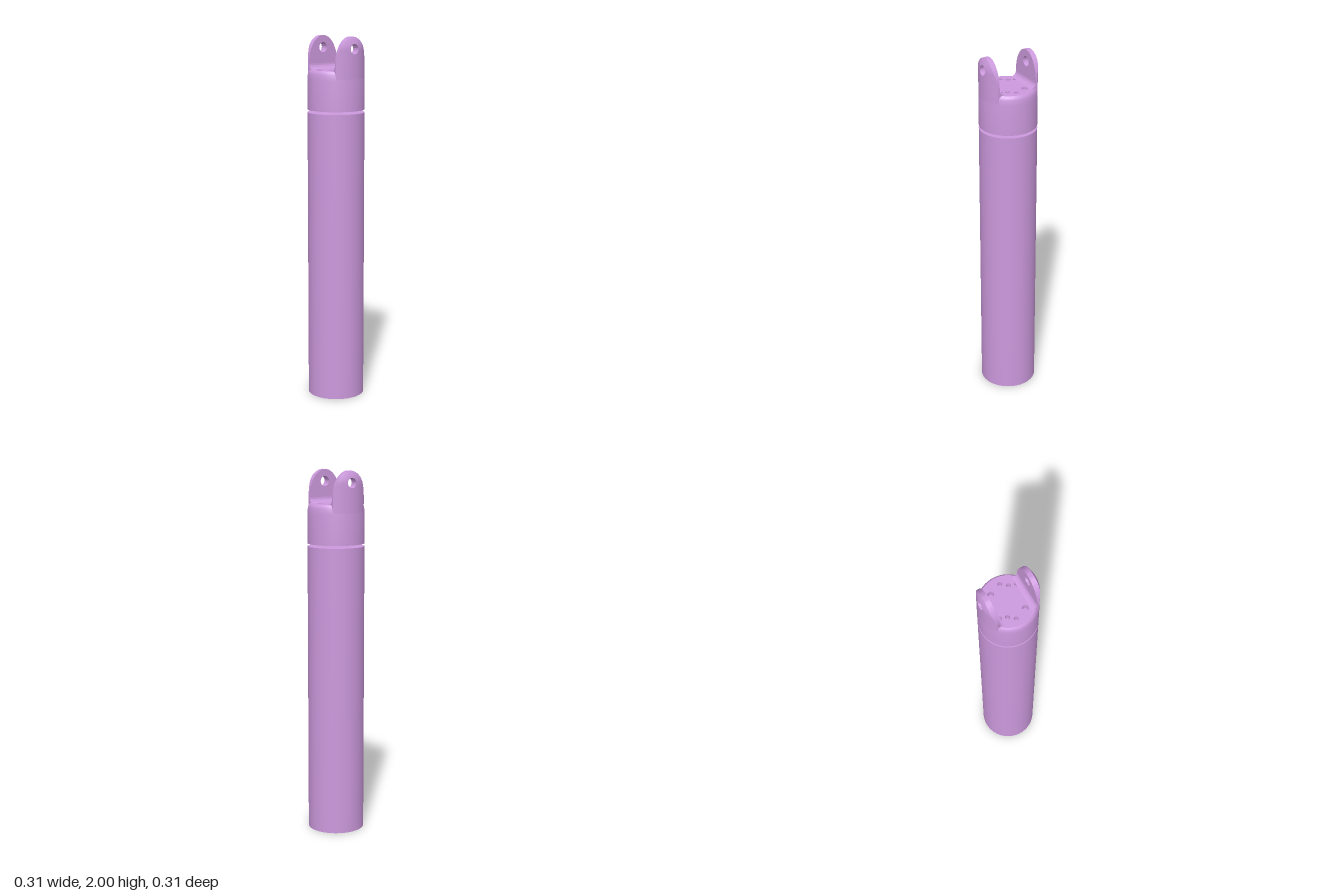
import * as THREE from 'three';
import { toCreasedNormals } from 'three/addons/utils/BufferGeometryUtils.js';

const R = 0.155;          // tube radius
const CAP_Y = 1.605;      // underside of the cap
const FLOOR_Y = 1.82;     // floor between the lugs
const LUG_IN = 0.108;     // inner face of the lugs
const EYE_Y = 1.935, EYE_R = 0.027;
const SEGMENTS = 64;

// Holes in the floor [x, z, radius]; the set repeats turned by half a turn
const HALF_HOLES = [
  [-0.06, -0.08, 0.012], [-0.072, -0.044, 0.012],
  [-0.099, -0.01, 0.012], [-0.072, 0.056, 0.016],
];
const HOLES = HALF_HOLES.flatMap(([x, z, r]) => [[x, z, r], [-x, -z, r]]);

// Outer lug surface: follows the tube, then rolls inwards near the tip
function lugOuterZ(x, y) {
  const roll = Math.max(0, (y - 1.93) / 0.07);
  return Math.sqrt(0.1545 ** 2 - x * x) - 0.02 * roll * roll;
}

// Lug as a closed loop of points (outer face, then inner face) swept round the eye
function lugGeometry() {
  const outline = new THREE.Shape();
  outline.moveTo(-0.1, 1.75);
  outline.lineTo(0.1, 1.75);
  outline.lineTo(0.1, 1.85);
  outline.absellipse(0, 1.85, 0.1, 0.15, 0, Math.PI, false);
  outline.closePath();
  const rim = outline.getSpacedPoints(96).slice(0, 96);

  const loop = [];
  for (let i = 0; i <= 8; i++) loop.push([i / 8, true]);
  loop.push([1, false], [0, false]);

  const positions = [], index = [];
  const n = rim.length, m = loop.length;
  rim.forEach((p, i) => {
    const a = Math.atan2(p.y - EYE_Y, p.x);
    const hx = EYE_R * Math.cos(a), hy = EYE_Y + EYE_R * Math.sin(a);
    loop.forEach(([t, outer], j) => {
      const x = hx + (p.x - hx) * t, y = hy + (p.y - hy) * t;
      positions.push(x, y, outer ? lugOuterZ(x, y) : LUG_IN);
      const i2 = (i + 1) % n, j2 = (j + 1) % m;
      const A = i * m + j, B = i * m + j2, C = i2 * m + j2, D = i2 * m + j;
      index.push(A, B, C, A, C, D);
    });
  });
  const g = new THREE.BufferGeometry();
  g.setAttribute('position', new THREE.Float32BufferAttribute(positions, 3));
  g.setIndex(index);
  return toCreasedNormals(g, 0.6);
}

// Concave fillet where a lug meets the floor
function filletGeometry() {
  const r = 0.03, s = new THREE.Shape();
  s.moveTo(0, -0.01);
  s.lineTo(0.004, -0.01);
  s.lineTo(0.004, r);
  s.lineTo(0, r);
  s.absarc(-r, r, r, 0, -Math.PI / 2, true);
  s.lineTo(-r, -0.01);
  s.closePath();
  const g = new THREE.ExtrudeGeometry(s, { depth: 0.2, bevelEnabled: false, curveSegments: 10 });
  g.rotateY(-Math.PI / 2).translate(0.1, FLOOR_Y, LUG_IN);
  return toCreasedNormals(g, 0.6);
}

export function createModel() {
  const model = new THREE.Group();
  const material = new THREE.MeshStandardMaterial({ color: 0xcc99dd });
  const inside = new THREE.MeshStandardMaterial({ color: 0xcc99dd, side: THREE.DoubleSide });
  const add = (name, geometry, parent = model, mat = material) => {
    const mesh = new THREE.Mesh(geometry, mat);
    mesh.name = name;
    parent.add(mesh);
    return mesh;
  };

  // Long tube body
  add('tubeBody', new THREE.CylinderGeometry(R, R, 1.59, SEGMENTS)).position.y = 0.795;

  // Cap, separated from the body by a narrow gap
  const cap = new THREE.Group();
  cap.name = 'cap';
  model.add(cap);
  const profile = [[0, CAP_Y], [R, CAP_Y], [R, 1.77], [0.152, 1.8], [0.148, 1.812], [0.14, FLOOR_Y]];
  const wall = new THREE.LatheGeometry(profile.map(([x, y]) => new THREE.Vector2(x, y)), SEGMENTS);
  add('capWall', toCreasedNormals(wall, 0.6), cap);

  // Floor with its holes cut through
  const floor = new THREE.Shape();
  floor.absarc(0, 0, 0.14, 0, Math.PI * 2, false);
  for (const [x, z, r] of HOLES) {
    const hole = new THREE.Path();
    hole.absarc(x, -z, r, 0, Math.PI * 2, true);
    floor.holes.push(hole);
  }
  add('capFloor', new THREE.ShapeGeometry(floor, 32).rotateX(-Math.PI / 2).translate(0, FLOOR_Y, 0), cap);

  // Walls and bottoms of the holes
  const depth = 0.04;
  for (const [x, z, r] of HOLES) {
    const bore = new THREE.CylinderGeometry(r, r, depth, 24, 1, true);
    add('holeWall', bore, cap, inside).position.set(x, FLOOR_Y - depth / 2, z);
    const base = new THREE.CircleGeometry(r, 24).rotateX(-Math.PI / 2);
    add('holeBottom', base, cap).position.set(x, FLOOR_Y - depth, z);
  }

  // Front and back lugs with eyes and fillets
  const lug = lugGeometry(), fillet = filletGeometry();
  for (const [side, turn] of [['front', 0], ['back', Math.PI]]) {
    const group = new THREE.Group();
    group.name = side + 'LugAssembly';
    group.rotation.y = turn;
    add(side + 'Lug', lug, group);
    add(side + 'LugFillet', fillet, group);
    cap.add(group);
  }
  return model;
}
